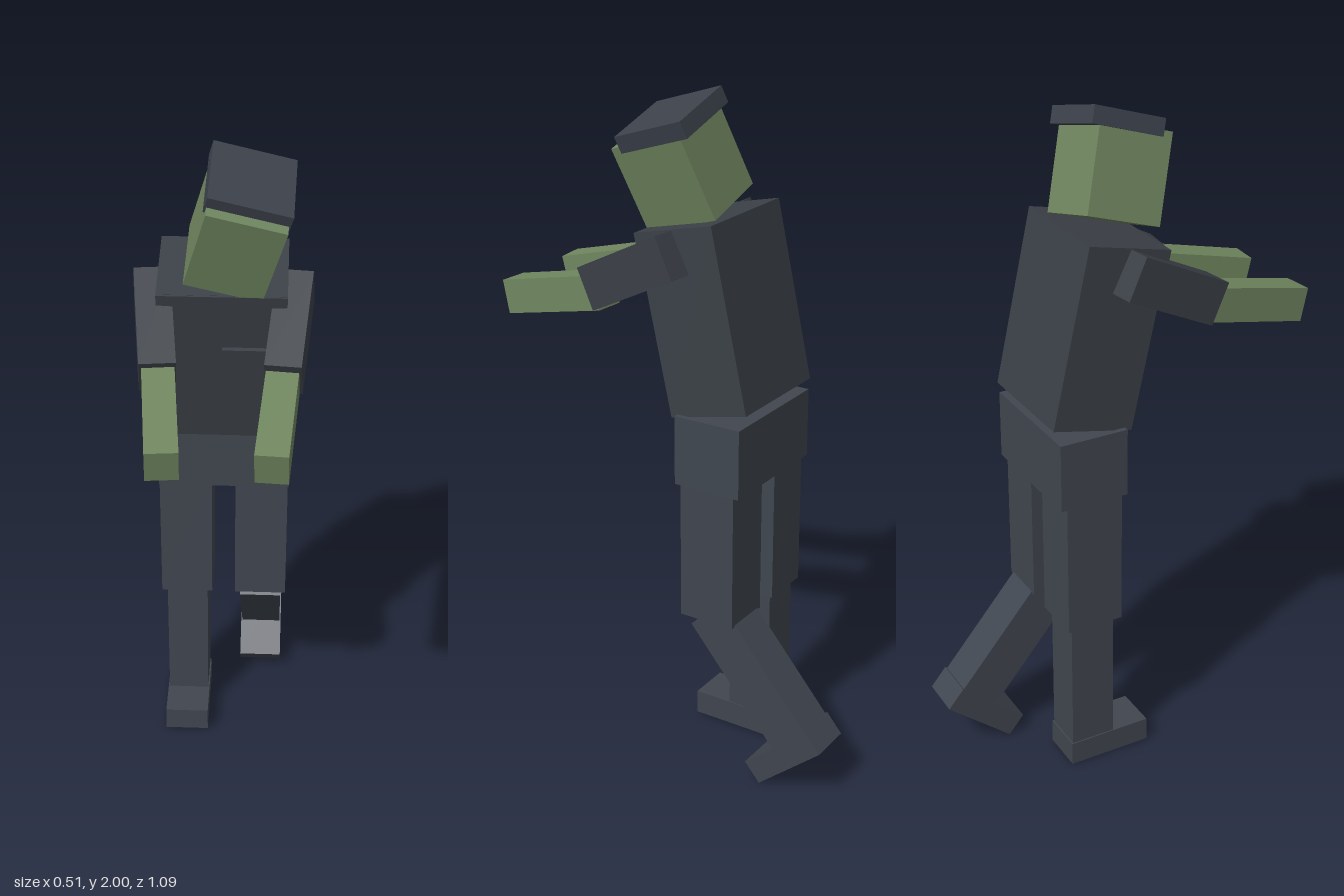
import * as THREE from 'three';

const material = (name, color) => {
  const m = new THREE.MeshStandardMaterial({ color });
  m.name = name;
  return m;
};

export function createModel() {
  const jacket = material('jacket grey', 0x3b4047);
  const trousers = material('trouser grey', 0x40464f);
  const hatGrey = material('hat grey', 0x3c414b);
  const skin = material('green skin', 0x70865f);

  const model = new THREE.Group();
  model.name = 'walkingFigure';

  const group = (name, x, y, z, pitch = 0) => {
    const g = new THREE.Group();
    g.name = name;
    g.position.set(x, y, z);
    g.rotation.x = pitch;
    model.add(g);
    return g;
  };
  const box = (parent, name, mat, size, pos) => {
    const mesh = new THREE.Mesh(new THREE.BoxGeometry(...size), mat);
    mesh.name = name;
    mesh.position.set(...pos);
    parent.add(mesh);
    return mesh;
  };
  // Box limb running from one joint centre to the next
  const limb = (name, mat, width, height, from, to) => {
    const a = new THREE.Vector3(...from), b = new THREE.Vector3(...to);
    const mid = a.clone().add(b).multiplyScalar(0.5);
    box(model, name, mat, [width, height, a.distanceTo(b)], mid.toArray()).lookAt(b);
  };

  // Torso leaning forward, with a collar strip and a chest pocket
  const torso = group('torso', 0, 1.386, -0.106, 0.22);
  box(torso, 'jacketBody', jacket, [0.356, 0.53, 0.25], [0, 0, 0]);
  box(torso, 'collarStrip', jacket, [0.356, 0.035, 0.008], [0, 0.247, 0.127]);
  box(torso, 'chestPocket', jacket, [0.14, 0.108, 0.014], [0.07, 0.025, 0.131]);

  // Hips
  box(model, 'hips', trousers, [0.388, 0.207, 0.211], [0, 1.01, -0.168]);

  // Legs: the right stands straight, the left is bent back at the knee
  const leg = (side, x, pitch) => {
    box(model, side + 'Thigh', trousers, [0.157, 0.44, 0.175], [x, 0.713, -0.168]);
    const lower = group(side + 'LowerLeg', x, 0.493, -0.17, pitch);
    box(lower, side + 'Shin', trousers, [0.126, 0.505, 0.138], [0, -0.237, 0]);
    box(lower, side + 'Foot', trousers, [0.134, 0.075, 0.26], [0, -0.455, 0.056]);
  };
  leg('right', -0.115, 0);
  leg('left', 0.113, 0.705);

  // Arms stretched forward
  const arm = (side, shoulder, elbow, wrist, hand) => {
    limb(side + 'Sleeve', jacket, 0.1, 0.128, shoulder, elbow);
    limb(side + 'Forearm', skin, 0.089, 0.1, wrist, hand);
  };
  arm('right', [-0.2, 1.583, -0.07], [-0.166, 1.443, 0.212],
    [-0.167, 1.444, 0.18], [-0.133, 1.363, 0.525]);
  arm('left', [0.2, 1.583, -0.07], [0.172, 1.443, 0.212],
    [0.172, 1.436, 0.18], [0.148, 1.36, 0.522]);

  // Head tilted forward and to its left, wearing a flat hat set towards the back
  const right = new THREE.Vector3(1, -0.26, -0.055).normalize();
  const front = new THREE.Vector3().crossVectors(right, new THREE.Vector3(0.26, 1, 0.32)).normalize();
  const up = new THREE.Vector3().crossVectors(front, right);
  const head = group('head', 0.039, 1.781, 0.009);
  head.quaternion.setFromRotationMatrix(new THREE.Matrix4().makeBasis(right, up, front));
  box(head, 'face', skin, [0.22, 0.258, 0.23], [0, 0, 0]);
  box(head, 'hat', hatGrey, [0.23, 0.05, 0.225], [0, 0.136, -0.028]);

  return model;
}
